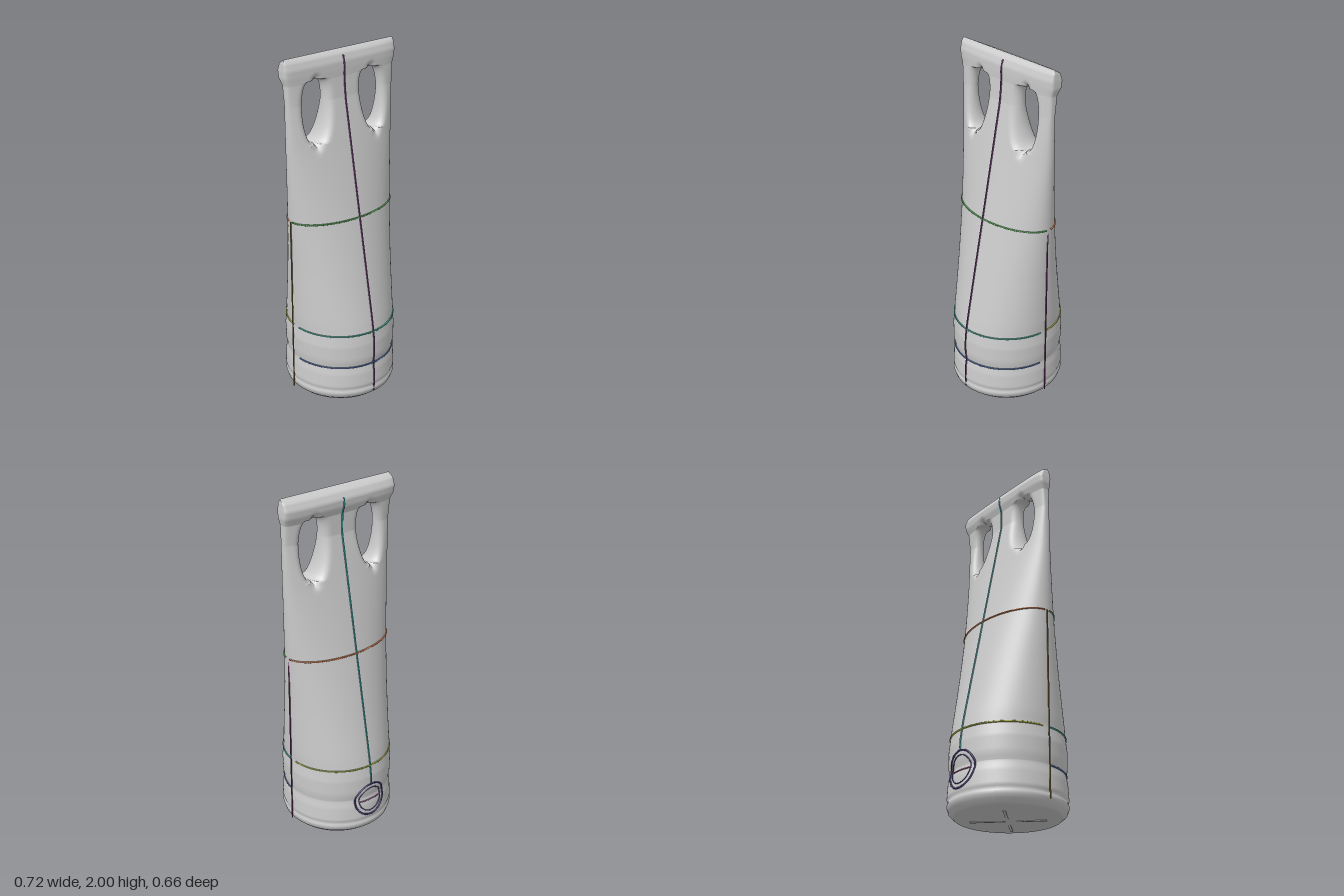
import * as THREE from 'three';
import { mergeVertices } from 'three/addons/utils/BufferGeometryUtils.js';

// Cross-sections: height, half width, half depth, roundness power, z shift
const SECTIONS = [
  [0, 0, 0, 1, 0], [0.005, 0.2, 0.2, 1, 0], [0.015, 0.28, 0.285, 1, 0], [0.04, 0.306, 0.314, 1, 0],
  [0.07, 0.315, 0.324, 1, 0], [0.09, 0.309, 0.317, 1, 0], [0.11, 0.315, 0.323, 1, 0],
  [0.19, 0.311, 0.318, 1, 0], [0.235, 0.304, 0.309, 1, 0], [0.28, 0.311, 0.317, 1, 0],
  [0.37, 0.314, 0.316, 1, 0], [0.44, 0.307, 0.307, 1, 0], [0.5, 0.311, 0.297, 1, 0],
  [0.8, 0.318, 0.238, 1, 0], [1.1, 0.33, 0.178, 1, 0], [1.5, 0.345, 0.099, 0.9, 0],
  [1.75, 0.348, 0.05, 0.6, 0], [1.86, 0.35, 0.045, 0.4, -0.005], [1.9, 0.361, 0.053, 0.3, -0.012],
  [1.94, 0.362, 0.054, 0.25, -0.014], [1.98, 0.36, 0.036, 0.25, -0.01], [2, 0.355, 0, 0.25, 0],
];
const HOLE_LOW = 1.53, HOLE_HIGH = 1.87;

function section(y) {
  let i = 0;
  while (i < SECTIONS.length - 2 && y > SECTIONS[i + 1][0]) i++;
  const a = SECTIONS[i], b = SECTIONS[i + 1];
  const t = (y - a[0]) / (b[0] - a[0]);
  return a.map((v, k) => v + (b[k] - v) * t);
}

// Teardrop handle hole: centre and half width at a height
function hole(y) {
  const t = THREE.MathUtils.clamp((y - HOLE_LOW) / (HOLE_HIGH - HOLE_LOW), 0, 1);
  return { c: 0.197 - 0.017 * t, w: 0.119 * Math.sqrt(t) * Math.pow(1 - t, 0.3) };
}

// Point on the bag skin; side is 1 for the front and -1 for the back
function skin(theta, y, side, out = 0) {
  const [, w, d, p, shift] = section(y);
  const x = w * Math.sin(theta);
  const h = hole(y);
  const dx = Math.max(0, Math.abs(Math.abs(x) - h.c) - h.w);
  const dy = Math.max(0, HOLE_LOW - y, y - HOLE_HIGH);
  const near = Math.min(1, Math.hypot(dx, dy) / 0.045);
  const round = Math.sqrt(Math.max(0, 1 - (1 - near) ** 2));
  const z = d * Math.pow(Math.max(0, Math.cos(theta)), p) * round;
  return new THREE.Vector3(x + out * Math.sin(theta), y, shift + side * (z + out * Math.cos(theta)));
}

// Round base flattening into a slab; three strips of columns part around the holes
function bagGeometry() {
  const ys = SECTIONS.map((s) => s[0]);
  for (let y = 0.02; y < HOLE_LOW; y += 0.02) ys.push(y);
  for (let i = 0; i <= 48; i++) {
    ys.push(HOLE_LOW + (HOLE_HIGH - HOLE_LOW) * (1 - Math.cos(Math.PI * i / 48)) / 2);
  }
  for (let y = 1.88; y < 2; y += 0.01) ys.push(y);
  const rows = [...new Set(ys.map((y) => +y.toFixed(4)))].sort((a, b) => a - b);
  const pos = [], index = [], n = 24;
  for (const side of [1, -1]) {
    for (let strip = 0; strip < 3; strip++) {
      const start = pos.length / 3;
      rows.forEach((y, i) => {
        const w = Math.max(section(y)[1], 0.3), h = hole(y);
        const inner = Math.asin((h.c - h.w) / w), outer = Math.asin((h.c + h.w) / w);
        const ends = [[-Math.PI / 2, -outer], [-inner, inner], [outer, Math.PI / 2]][strip];
        for (let j = 0; j <= n; j++) {
          const u = (1 - Math.cos(Math.PI * j / n)) / 2;
          pos.push(...skin(ends[0] + (ends[1] - ends[0]) * u, y, side).toArray());
          if (i === 0 || j === 0) continue;
          const d = start + i * (n + 1) + j, c = d - 1, b = d - n - 1, a = b - 1;
          if (side > 0) index.push(a, b, d, a, d, c);
          else index.push(a, d, b, a, c, d);
        }
      });
    }
  }
  const g = new THREE.BufferGeometry();
  g.setAttribute('position', new THREE.Float32BufferAttribute(pos, 3));
  g.setIndex(index);
  const merged = mergeVertices(g, 1e-4);
  merged.computeVertexNormals();
  return merged;
}

export function createModel() {
  const model = new THREE.Group();
  const add = (name, geometry, color, parent = model) => {
    const mesh = new THREE.Mesh(geometry, new THREE.MeshStandardMaterial({ color }));
    mesh.name = name;
    parent.add(mesh);
    return mesh;
  };
  const cord = (name, points, color, radius = 0.005, parent = model) =>
    add(name, new THREE.TubeGeometry(new THREE.CatmullRomCurve3(points), points.length * 3, radius, 6), color, parent);

  add('bagBody', bagGeometry(), 0xcccccc);

  // Horizontal seams, each half its own colour
  const ring = (name, y, side, color, span = 1.5) => {
    const points = [];
    for (let i = 0; i <= 24; i++) points.push(skin(-span + 2 * span * i / 24, y, side, 0.001));
    cord(name, points, color);
  };
  ring('frontUpperSeam', 1.1, 1, 0x4f9a50);
  ring('backUpperSeam', 1.1, -1, 0xc9794f);
  ring('frontMiddleSeam', 0.44, 1, 0x3f9c8c);
  ring('backMiddleSeam', 0.44, -1, 0xa3ab45);
  ring('frontLowerSeam', 0.235, 1, 0x4a6a9c);

  // Vertical centre seams
  const upright = (name, from, to, side, color) => {
    const points = [];
    for (let i = 0; i <= 40; i++) points.push(skin(0, from + (to - from) * i / 40, side, 0.001));
    cord(name, points, color);
  };
  upright('frontCentreSeam', 0.05, 1.97, 1, 0x6e3a72);
  upright('backCentreSeam', 0.33, 1.95, -1, 0x3f9a9a);

  // Straight side cords
  for (const [name, x, top, color] of [['leftSideCord', 0.326, 1.08, 0x75386f], ['rightSideCord', -0.333, 1.1, 0x85753a]]) {
    const g = new THREE.CylinderGeometry(0.004, 0.004, top - 0.05, 6);
    add(name, g, color).position.set(x, (top + 0.05) / 2, 0);
  }

  // Stitched round patch on the back, following the curve of the bag
  const patch = new THREE.Group();
  patch.name = 'backPatch';
  model.add(patch);
  const onBack = (x, y) => skin(Math.asin(x / section(y)[1]), y, -1, 0.002);
  const arc = (r, from, to) => Array.from({ length: 25 }, (_, i) => {
    const a = from + (to - from) * i / 24;
    return onBack(r * Math.cos(a), 0.22 + r * Math.sin(a));
  });
  cord('patchOuterStitch', arc(0.1, 0, Math.PI * 2), 0x4b4580, 0.005, patch);
  cord('patchInnerStitch', arc(0.075, 0, Math.PI * 2), 0x5a5290, 0.003, patch);
  cord('patchBar', [-0.08, -0.04, 0, 0.04, 0.08].map((x) => onBack(x, 0.215)), 0xa86a98, 0.004, patch);

  // Crossed creases under the base
  for (const angle of [Math.PI / 4, -Math.PI / 4]) {
    const bar = add('baseCrease', new THREE.BoxGeometry(0.4, 0.006, 0.014), 0xcccccc);
    bar.position.y = 0.003;
    bar.rotation.y = angle;
  }
  return model;
}
